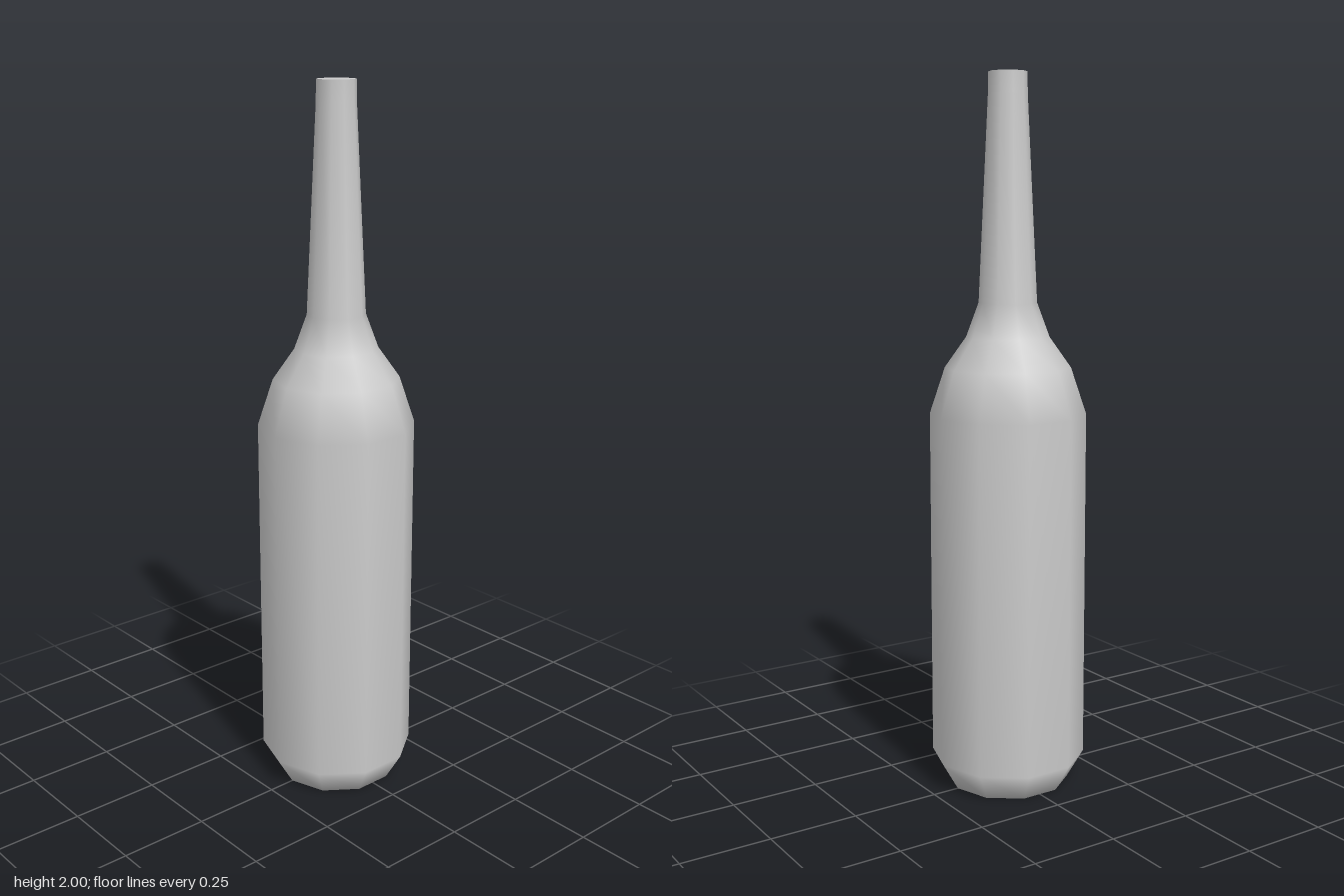
import * as THREE from 'three';

const SIDES = 10;

export function createModel() {
  const group = new THREE.Group();
  group.name = 'bottle';
  const material = new THREE.MeshStandardMaterial({ color: 0xcccccc });

  const add = (name, geometry) => {
    const mesh = new THREE.Mesh(geometry, material);
    mesh.name = name;
    group.add(mesh);
    return mesh;
  };

  // Smooth turned body: base, bevelled foot, straight wall, shoulder, tapering neck, straight lip
  const profile = [
    [0, 0], [0.172, 0], [0.219, 0.08], [0.219, 1.07], [0.176, 1.2],
    [0.116, 1.285], [0.081, 1.38], [0.054, 1.94], [0.053, 2],
  ].map(([r, y]) => new THREE.Vector2(r, y));
  add('bottleBody', new THREE.LatheGeometry(profile, SIDES));

  // Flat closed mouth, with a corner facing the front like the body
  const cap = new THREE.CircleGeometry(0.053, SIDES, Math.PI / 2).rotateX(-Math.PI / 2);
  // The circle's first corner lies at -z; an even side count puts one at +z too
  add('mouthCap', cap).position.y = 2;

  return group;
}
